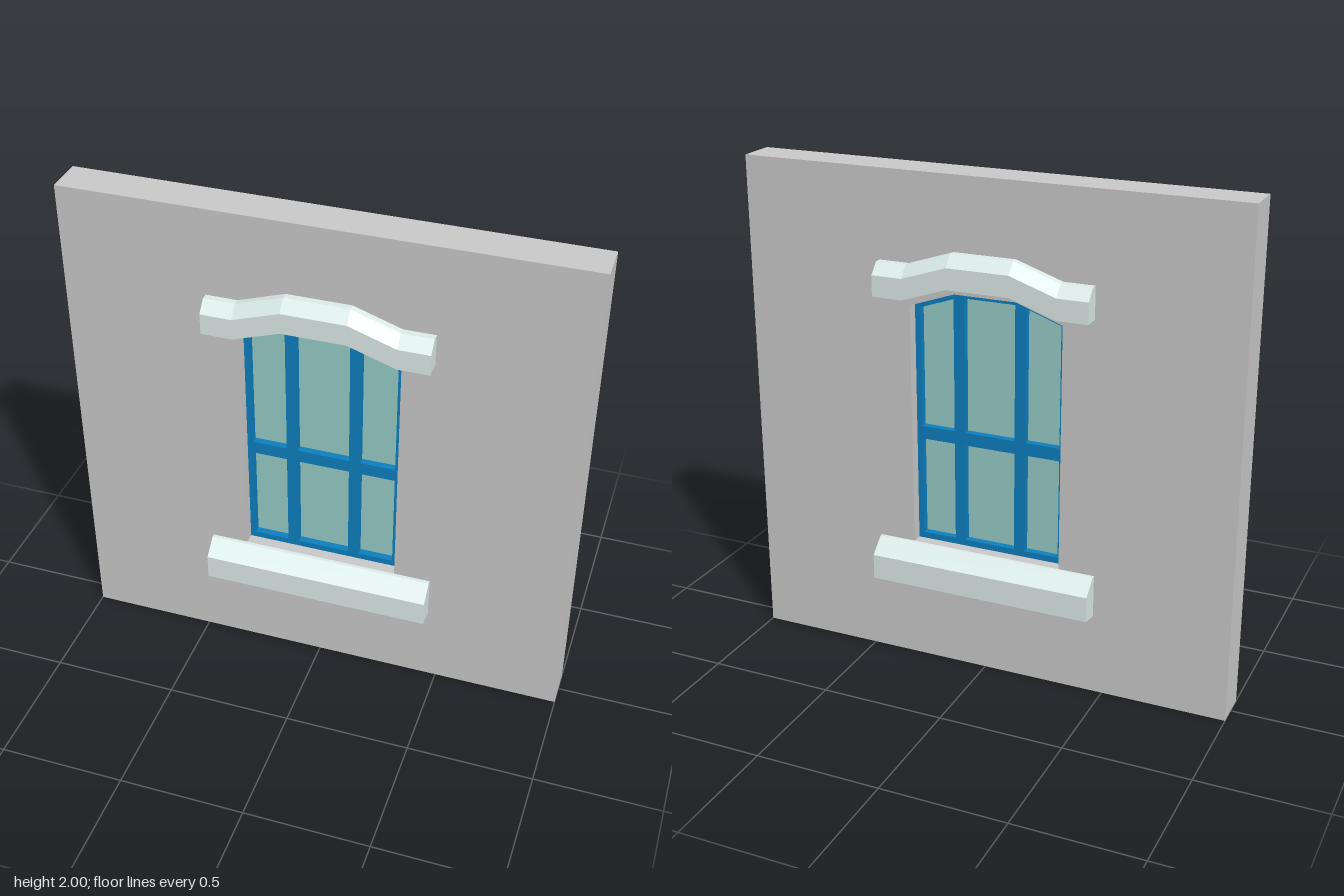
import * as THREE from 'three';

const material = (color) => new THREE.MeshStandardMaterial({ color, flatShading: true });
const grey = material(0xcccccc);
const stone = material(0xdfeeeb);
const blue = material(0x0d80c0);
const glass = material(0x98cdc9);

const WALL = 0.078; // half thickness of the wall
const FRAME = 0.033; // half thickness of the frame

// Height of the three-sided arch at x, lowered by an inset
const archY = (x, inset = 0) =>
  1.55 - inset - 0.065 * Math.max(0, (Math.abs(x) - 0.125) / 0.185);

const points = (list) => list.map(([x, y]) => new THREE.Vector2(x, y));

const openingOutline = () => points([
  [-0.31, 0.502], [0.31, 0.502], [0.31, archY(0.31)],
  [0.125, archY(0.125)], [-0.125, archY(0.125)], [-0.31, archY(0.31)],
]);

// Flat plate with holes, centred on z = 0
function plate(name, outline, holes, half, mat) {
  const shape = new THREE.Shape(outline);
  holes.forEach((h) => shape.holes.push(new THREE.Path(h)));
  const geo = new THREE.ExtrudeGeometry(shape, { depth: half * 2, bevelEnabled: false });
  geo.translate(0, 0, -half);
  const mesh = new THREE.Mesh(geo, mat);
  mesh.name = name;
  return mesh;
}

// Convex [z, y] profile carried along x through [x, rise] stations
function moulding(profile, stations) {
  const pos = [];
  const at = (s, i) => {
    const [z, y] = profile[i % profile.length];
    return [stations[s][0], y + stations[s][1], z];
  };
  const tri = (a, b, c) => pos.push(...a, ...b, ...c);
  const last = stations.length - 1;
  for (let s = 0; s < last; s++) {
    for (let i = 0; i < profile.length; i++) {
      tri(at(s, i), at(s + 1, i), at(s + 1, i + 1));
      tri(at(s, i), at(s + 1, i + 1), at(s, i + 1));
    }
  }
  for (let i = 1; i < profile.length - 1; i++) {
    tri(at(0, 0), at(0, i), at(0, i + 1));
    tri(at(last, 0), at(last, i + 1), at(last, i));
  }
  const geo = new THREE.BufferGeometry();
  geo.setAttribute('position', new THREE.Float32BufferAttribute(pos, 3));
  geo.computeVertexNormals();
  return geo;
}

export function createModel() {
  const model = new THREE.Group();
  model.name = 'windowWall';

  // Wall with the arched opening
  const wallOutline = points([[-1, 0], [1, 0], [1, 2], [-1, 2]]);
  model.add(plate('wall', wallOutline, [openingOutline()], WALL, grey));

  // Frame with two rows of three panes
  const panes = [];
  for (const [l, r] of [[-0.288, -0.148], [-0.104, 0.104], [0.148, 0.288]]) {
    panes.push(points([[l, 0.527], [r, 0.527], [r, 0.932], [l, 0.932]]));
    panes.push(points([[l, 0.984], [r, 0.984], [r, archY(r, 0.025)], [l, archY(l, 0.025)]]));
  }
  model.add(plate('windowFrame', openingOutline(), panes, FRAME, blue));

  // Glass, kept just inside the outer edge of the frame
  const glassOutline = points([
    [-0.3, 0.515], [0.3, 0.515], [0.3, archY(0.3, 0.012)],
    [0.125, archY(0.125, 0.012)], [-0.125, archY(0.125, 0.012)], [-0.3, archY(0.3, 0.012)],
  ]);
  model.add(plate('glass', glassOutline, [], 0.004, glass));

  // Sill and lintel on both faces of the wall
  const sillGeo = moulding(
    [[WALL, 0.33], [0.156, 0.343], [0.156, 0.445], [0.092, 0.503], [WALL, 0.503]],
    [[-0.456, 0], [0.456, 0]],
  );
  const lintelGeo = moulding(
    [[WALL, 1.523], [0.146, 1.523], [0.146, 1.606], [0.105, 1.65], [WALL, 1.65]],
    [[-0.433, 0], [-0.31, 0], [-0.125, 0.062], [0.125, 0.062], [0.31, 0], [0.433, 0]],
  );
  for (const [side, turn] of [['front', 0], ['back', Math.PI]]) {
    for (const [part, geo] of [['Sill', sillGeo], ['Lintel', lintelGeo]]) {
      const mesh = new THREE.Mesh(geo, stone);
      mesh.name = side + part;
      mesh.rotation.y = turn;
      model.add(mesh);
    }
  }
  return model;
}
